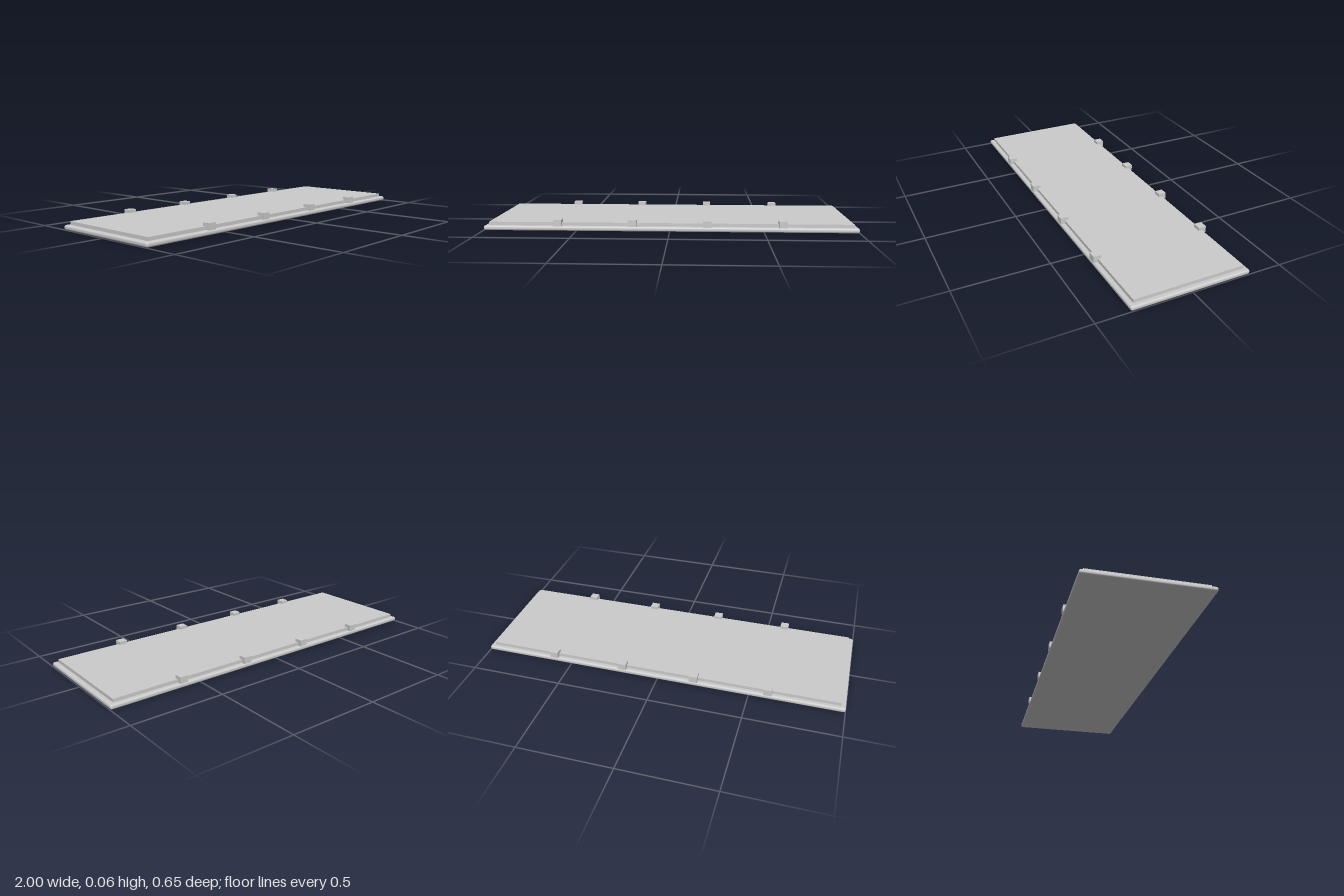
import * as THREE from 'three';
import { RoundedBoxGeometry } from 'three/addons/geometries/RoundedBoxGeometry.js';

export function createModel() {
  const model = new THREE.Group();
  model.name = 'clippedPanel';
  const material = new THREE.MeshStandardMaterial({ color: 0xcccccc });

  const add = (name, geometry, x, y, z) => {
    const mesh = new THREE.Mesh(geometry, material);
    mesh.name = name;
    mesh.position.set(x, y, z);
    model.add(mesh);
  };

  // Base slab with rounded edges
  add('baseSlab', new RoundedBoxGeometry(2, 0.025, 0.646, 4, 0.01), 0, 0.0125, 0);

  // Thin panel resting on the slab
  add('panel', new THREE.BoxGeometry(1.95, 0.018, 0.6), 0, 0.034, 0);

  // Four clips gripping each long edge
  const clip = new THREE.BoxGeometry(0.045, 0.035, 0.043);
  for (const side of [1, -1]) {
    for (const x of [-0.6, -0.2, 0.2, 0.6]) {
      add(side > 0 ? 'frontClip' : 'backClip', clip, x, 0.0425, side * 0.3025);
    }
  }
  return model;
}
